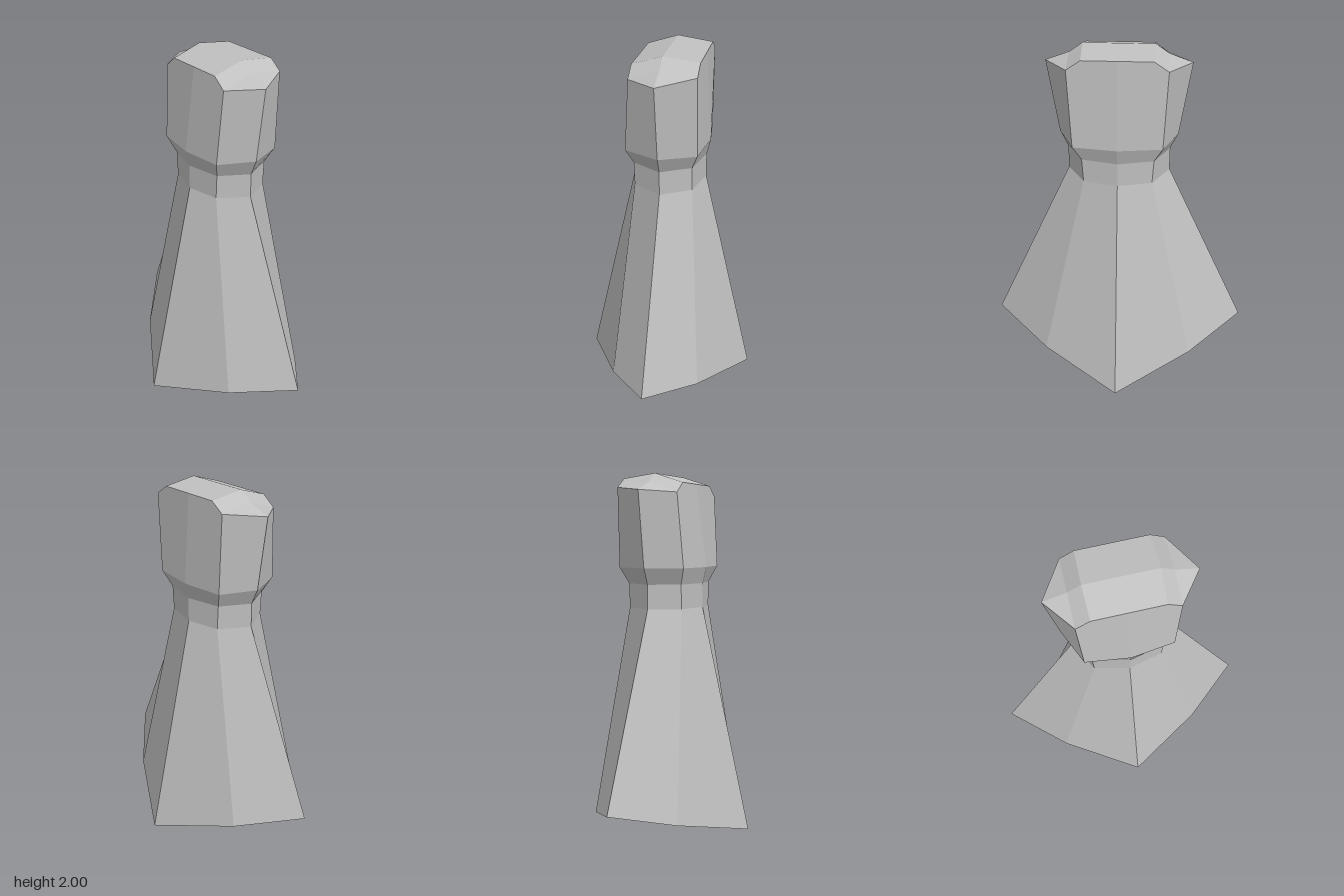
import * as THREE from 'three';

const vec = (x, y, z) => new THREE.Vector3(x, y, z);
const flip = (p) => vec(-p.x, p.y, p.z);

// Eight-point ring: side [x, y], then corner and centre points at the back and front
function closeRing([sx, sy], backCorner, backCentre, frontCorner, frontCentre) {
  return [vec(sx, sy, 0), backCorner, backCentre, flip(backCorner),
    vec(-sx, sy, 0), flip(frontCorner), frontCentre, frontCorner];
}

// Ring that is the same at the back and the front
function ring(side, [cx, cy, cz], [my, mz]) {
  return closeRing(side, vec(cx, cy, -cz), vec(0, my, -mz), vec(cx, cy, cz), vec(0, my, mz));
}

const levelRing = (y, sx, cx, cz, mz) => ring([sx, y], [cx, y, cz], [y, mz]);

// Adds one flat-shaded face; quads are split along their shorter diagonal
function addFace(out, ...corners) {
  const pts = corners.filter((p, i) => p.distanceTo(corners[(i + 1) % corners.length]) > 1e-6);
  if (pts.length === 4 && pts[1].distanceTo(pts[3]) < pts[0].distanceTo(pts[2])) pts.push(pts.shift());
  const normal = vec(0, 0, 0);
  for (let i = 1; i + 1 < pts.length; i++) {
    const a = pts[i].clone().sub(pts[0]), b = pts[i + 1].clone().sub(pts[0]);
    normal.add(a.cross(b));
  }
  normal.normalize();
  for (let i = 1; i + 1 < pts.length; i++) {
    for (const p of [pts[0], pts[i], pts[i + 1]]) {
      out.positions.push(p.x, p.y, p.z);
      out.normals.push(normal.x, normal.y, normal.z);
    }
  }
}

function loft(out, rings) {
  for (let k = 0; k + 1 < rings.length; k++) {
    const lo = rings[k], up = rings[k + 1];
    for (let i = 0; i < 8; i++) {
      const j = (i + 1) % 8;
      addFace(out, lo[i], lo[j], up[j], up[i]);
    }
  }
}

// Runs a builder that adds faces and wraps the result as a named mesh
function makeMesh(name, material, build) {
  const out = { positions: [], normals: [] };
  build(out);
  const geometry = new THREE.BufferGeometry();
  geometry.setAttribute('position', new THREE.Float32BufferAttribute(out.positions, 3));
  geometry.setAttribute('normal', new THREE.Float32BufferAttribute(out.normals, 3));
  const mesh = new THREE.Mesh(geometry, material);
  mesh.name = name;
  return mesh;
}

export function createModel() {
  const group = new THREE.Group();
  group.name = 'torso';
  const grey = new THREE.MeshStandardMaterial({ color: 0xc0c0c0 });
  grey.name = 'plain grey';

  const waistLow = levelRing(1.265, 0.283, 0.187, 0.16, 0.205);
  const waistHigh = levelRing(1.4, 0.283, 0.195, 0.16, 0.205);
  const chestLow = levelRing(1.49, 0.325, 0.24, 0.195, 0.226);
  const chestTop = closeRing([0.387, 1.903],
    vec(0.26, 1.925, -0.193), vec(0, 1.977, -0.193),
    vec(0.26, 1.892, 0.165), vec(0, 1.947, 0.165));
  const backShoulder = vec(0.185, 1.977, -0.193);
  const frontShoulder = vec(0.185, 1.947, 0.165);

  // Skirt: tapering hollow, rim, outer wall
  group.add(makeMesh('skirt', grey, (out) => loft(out, [
    levelRing(1, 0, 0, 0, 0),
    ring([0.68, 0.24], [0.4, 0.13, 0.205], [0, 0.435]),
    ring([0.75, 0.24], [0.437, 0.128, 0.253], [0, 0.497]),
    waistLow,
  ])));

  // Waist band
  group.add(makeMesh('waist', grey, (out) => loft(out, [waistLow, waistHigh])));

  // Chest: flare, side panels, then back and front panels with cut shoulders
  group.add(makeMesh('chest', grey, (out) => {
    loft(out, [waistHigh, chestLow]);
    for (const i of [0, 3, 4, 7]) {
      const j = (i + 1) % 8;
      addFace(out, chestLow[i], chestLow[j], chestTop[j], chestTop[i]);
    }
    for (const [c, first, last] of [[2, backShoulder, flip(backShoulder)], [6, flip(frontShoulder), frontShoulder]]) {
      addFace(out, chestLow[c], chestTop[c], first, chestTop[c - 1], chestLow[c - 1]);
      addFace(out, chestLow[c], chestLow[c + 1], chestTop[c + 1], last, chestTop[c]);
    }
  }));

  // Shoulder cap folded over a ridge along x
  const [right, backCorner, backCentre, , left, , frontCentre, frontCorner] = chestTop;
  const row = (corner, shoulder, centre) =>
    [right, corner, shoulder, centre, flip(shoulder), flip(corner), left];
  const back = row(backCorner, backShoulder, backCentre);
  const ridge = row(vec(0.26, 1.95, 0), vec(0.19, 2, 0), vec(0, 2, 0));
  const front = row(frontCorner, frontShoulder, frontCentre);
  group.add(makeMesh('shoulderCap', grey, (out) => {
    for (let i = 0; i < 6; i++) {
      addFace(out, back[i], back[i + 1], ridge[i + 1], ridge[i]);
      addFace(out, ridge[i], ridge[i + 1], front[i + 1], front[i]);
    }
  }));

  return group;
}
